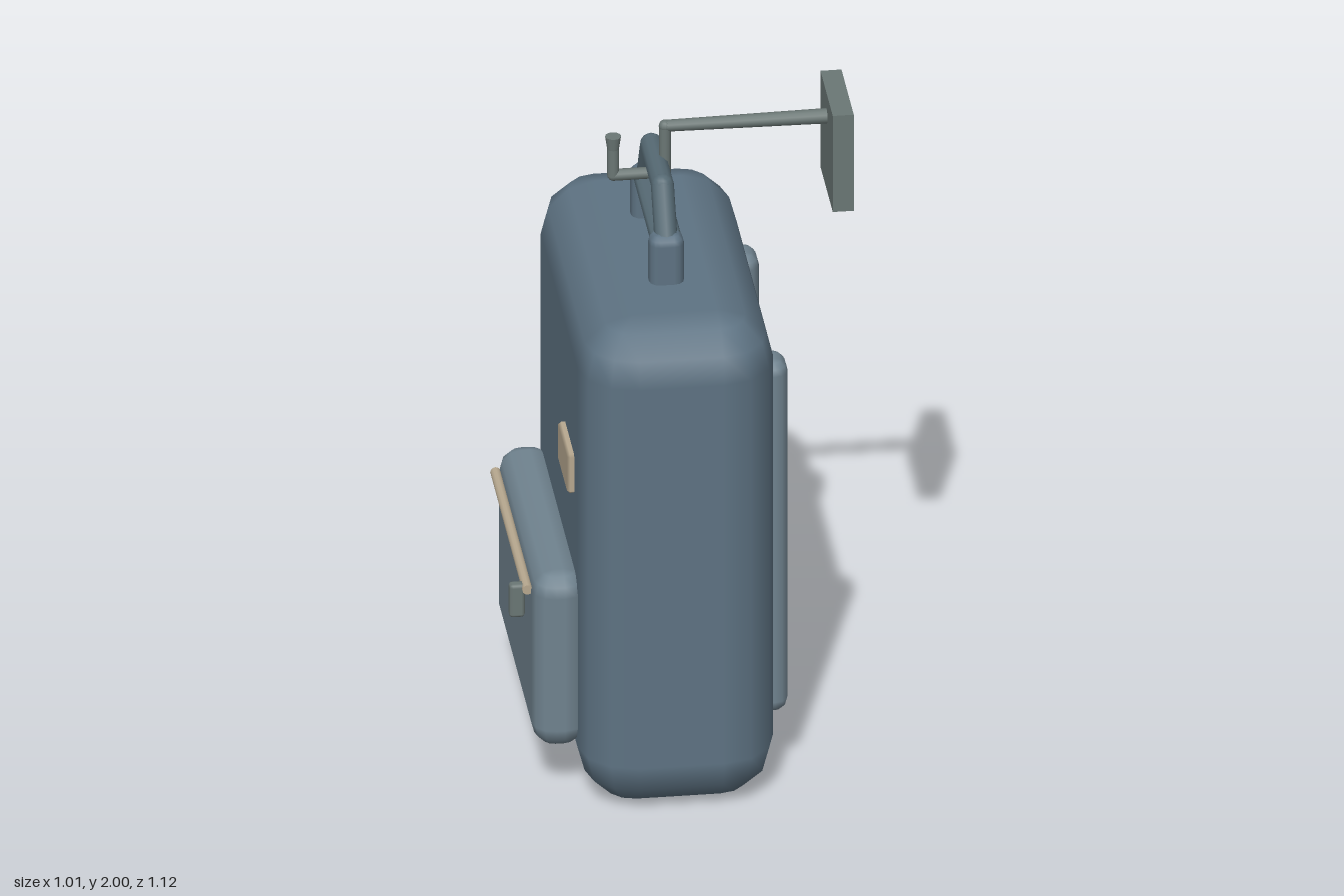
import * as THREE from 'three';

const mat = (color) => new THREE.MeshStandardMaterial({ color });
const V = (x, y, z) => new THREE.Vector3(x, y, z);

// Box with rounded edges: a sphere grid whose octants are pushed out to the box corners
function roundedBox(w, h, d, r, n = 3) {
  const q = Math.PI / 2, rows = [], cols = [];
  for (let k = 0; k < 4; k++) {
    for (let i = 0; i <= n; i++) cols.push([(k + i / n) * q, k === 0 || k === 3 ? 1 : -1, k < 2 ? 1 : -1]);
  }
  cols.push(cols[0]);
  for (let k = 0; k < 2; k++) {
    for (let i = 0; i <= n; i++) rows.push([(k + i / n) * q, k === 0 ? 1 : -1, 1]);
  }
  // closing rows at the middle of the top and bottom
  rows.unshift([0, 1, 0]);
  rows.push([Math.PI, -1, 0]);
  const pos = [], nor = [], idx = [];
  for (const [p, sy, spread] of rows) {
    for (const [t, sx, sz] of cols) {
      const nx = Math.sin(p) * Math.cos(t), ny = Math.cos(p), nz = Math.sin(p) * Math.sin(t);
      pos.push(nx * r + sx * spread * (w / 2 - r), ny * r + sy * (h / 2 - r), nz * r + sz * spread * (d / 2 - r));
      nor.push(nx, ny, nz);
    }
  }
  const m = cols.length;
  for (let i = 0; i < rows.length - 1; i++) {
    for (let j = 0; j < m - 1; j++) {
      const a = i * m + j, b = a + m;
      idx.push(a, a + 1, b, a + 1, b + 1, b);
    }
  }
  const g = new THREE.BufferGeometry();
  g.setAttribute('position', new THREE.Float32BufferAttribute(pos, 3));
  g.setAttribute('normal', new THREE.Float32BufferAttribute(nor, 3));
  g.setIndex(idx);
  return g;
}

export function createModel() {
  const model = new THREE.Group();
  const fabric = mat(0x5e7383), trim = mat(0x70838f), grip = mat(0x566a74);
  const metal = mat(0x6b7775), tan = mat(0xb8a990);

  const add = (name, geometry, material, parent = model) => {
    const mesh = new THREE.Mesh(geometry, material);
    mesh.name = name;
    parent.add(mesh);
    return mesh;
  };
  // Rounded box given by its extents on each axis
  const block = (name, [x0, x1], [y0, y1], [z0, z1], r, material, n) =>
    add(name, roundedBox(x1 - x0, y1 - y0, z1 - z0, r, n), material)
      .position.set((x0 + x1) / 2, (y0 + y1) / 2, (z0 + z1) / 2);
  // Straight round bar between two points
  const rod = (name, a, b, ra, rb, material, parent) => {
    const mesh = add(name, new THREE.CylinderGeometry(rb, ra, a.distanceTo(b), 12), material, parent);
    mesh.position.copy(a).lerp(b, 0.5);
    mesh.quaternion.setFromUnitVectors(V(0, 1, 0), b.clone().sub(a).normalize());
  };
  // Chain of rods with ball joints at the bends
  const chain = (name, points, r, material) => {
    const group = new THREE.Group();
    group.name = name;
    model.add(group);
    points.forEach((p, i) => {
      if (i) rod(name + 'Bar', points[i - 1], p, r, r, material, group);
      if (i && i < points.length - 1) {
        add(name + 'Joint', new THREE.SphereGeometry(r, 12, 8), material, group).position.copy(p);
      }
    });
  };

  // Main case, pocket and fittings
  block('body', [-0.32, 0.24], [0.005, 1.545], [-0.56, 0.56], 0.16, fabric);
  block('pocket', [-0.445, -0.29], [0.16, 0.715], [-0.42, 0.42], 0.065, trim);
  block('label', [-0.34, -0.3], [0.945, 1.07], [0.13, 0.34], 0.008, tan, 1);
  rod('zipper', V(-0.455, 0.65, -0.355), V(-0.455, 0.65, 0.35), 0.015, 0.015, tan);
  block('zipperPull', [-0.505, -0.46], [0.555, 0.66], [0.305, 0.34], 0.01, metal, 2);

  // Straps and handle posts, mirrored front to back
  for (const s of [-1, 1]) {
    const c = s * 0.317, p = s * 0.2;
    block('strap', [0.19, 0.29], [0.21, 1.34], [c - 0.058, c + 0.058], 0.04, trim);
    block('handlePost', [-0.09, 0.01], [1.5, 1.695], [p - 0.04, p + 0.04], 0.03, fabric);
  }

  // Handle: flat lower bar and angular arch
  block('handleBase', [-0.085, 0.005], [1.655, 1.692], [-0.2, 0.2], 0.017, grip, 2);
  chain('handleArch', [V(-0.04, 1.66, 0.205), V(-0.04, 1.805, 0.12), V(-0.04, 1.805, -0.12), V(-0.04, 1.66, -0.205)], 0.033, grip);

  // Cranked pipe through the handle, with a flared end and a square plate
  chain('crank', [V(-0.165, 1.87, 0), V(-0.165, 1.78, 0), V(-0.017, 1.78, 0), V(-0.017, 1.928, 0)], 0.017, metal);
  rod('crankFlare', V(-0.165, 1.865, 0), V(-0.165, 1.905, 0), 0.017, 0.023, metal);
  add('armElbow', new THREE.SphereGeometry(0.018, 12, 8), metal).position.set(-0.017, 1.928, 0);
  rod('arm', V(-0.017, 1.928, 0), V(0.45, 1.928, 0), 0.017, 0.022, metal);
  add('plate', new THREE.BoxGeometry(0.06, 0.31, 0.27), metal).position.set(0.475, 1.845, 0);

  return model;
}
